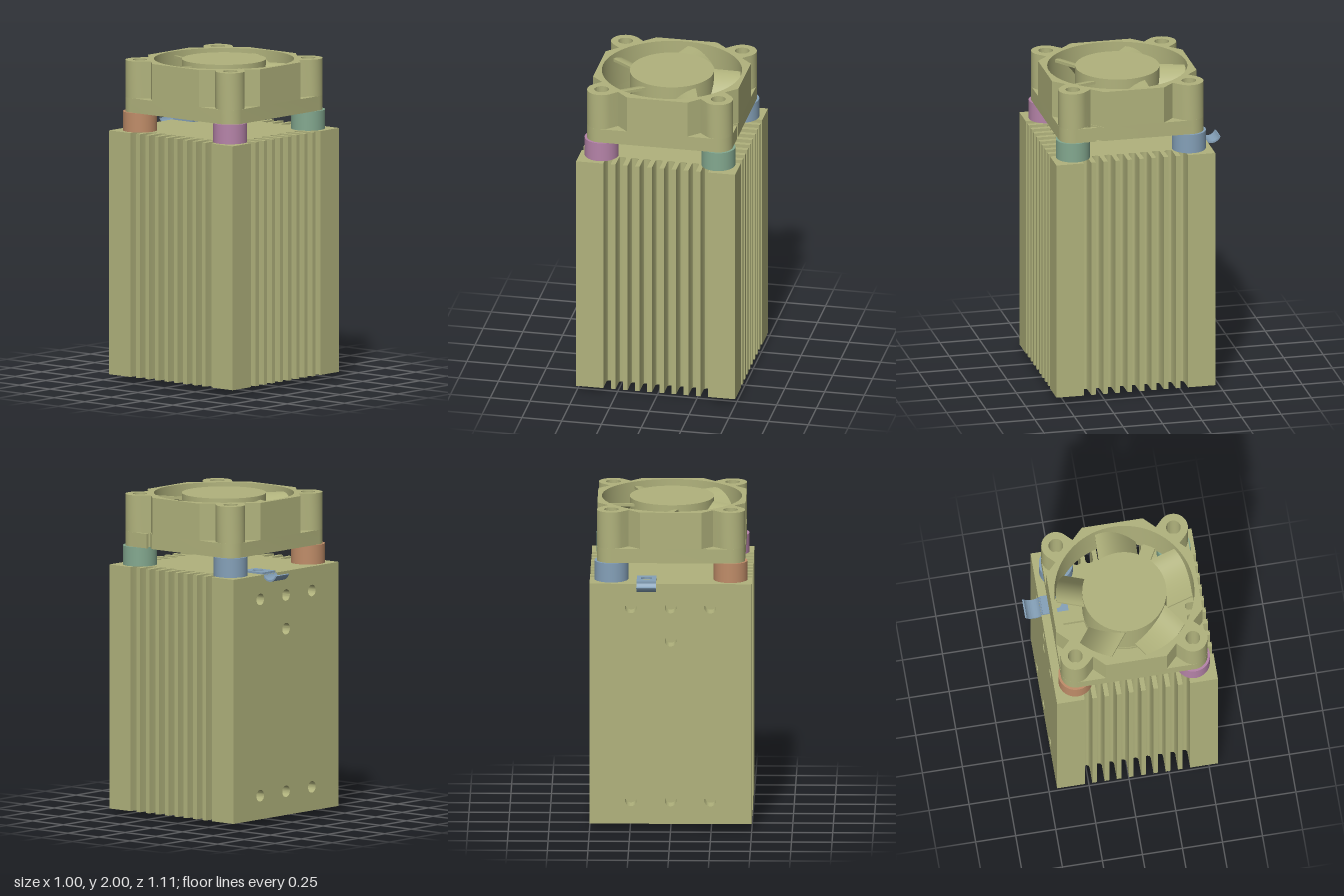
import * as THREE from 'three';
import { toCreasedNormals } from 'three/addons/utils/BufferGeometryUtils.js';

const mat = (name, color, side = THREE.FrontSide) => {
  const m = new THREE.MeshStandardMaterial({ color, side });
  m.name = name;
  return m;
};

const shapeOf = (pts) => new THREE.Shape(pts.map(([x, y]) => new THREE.Vector2(x, y)));
const hole = (shape, x, y, r) => shape.holes.push(new THREE.Path().absarc(x, y, r, 0, Math.PI * 2, true));
const extrude = (shape, depth, curveSegments = 24) =>
  new THREE.ExtrudeGeometry(shape, { depth, bevelEnabled: false, curveSegments });
// Plan shape drawn in (x, z), filled from y0 up to y1
const slab = (shape, y0, y1, seg) =>
  toCreasedNormals(extrude(shape, y1 - y0, seg).rotateX(Math.PI / 2).translate(0, y1, 0), 0.5);
const tube = (r, y0, y1) => new THREE.CylinderGeometry(r, r, y1 - y0, 48).translate(0, (y0 + y1) / 2, 0);

export function createModel() {
  const olive = mat('olive', 0xb0b27c);
  const pink = mat('pink', 0xb583a8);
  const green = mat('green', 0x83a88f);
  const blue = mat('blue', 0x84a0b8);
  const orange = mat('orange', 0xbf8c68);

  const model = new THREE.Group();
  const add = (parent, name, geo, material) => {
    const m = new THREE.Mesh(geo, material);
    m.name = name;
    parent.add(m);
    return m;
  };
  const CZ = 0.053; // shared axis of the bore and the fan

  // Heat sink: block with nine grooves on the front and on both sides
  const grooves = (start) => {
    const pts = [], w = 0.047, d = 0.12, r = 0.016;
    for (let i = 0; i < 9; i++) {
      const a = start + i * 0.0764, b = a + w;
      pts.push([a, 0], [a, d - r], [a + 0.3 * r, d - 0.3 * r], [a + r, d],
        [b - r, d], [b - 0.3 * r, d - 0.3 * r], [b, d - r], [b, 0]);
    }
    return pts;
  };
  const side = grooves(-0.277).map(([a, d]) => [0.5 - d, a]);
  const front = grooves(-0.329).map(([a, d]) => [-a, 0.555 - d]);
  const block = shapeOf([
    [0.5, -0.35], ...side, [0.5, 0.555], ...front, [-0.5, 0.555],
    ...side.slice().reverse().map(([x, z]) => [-x, z]), [-0.5, -0.35],
  ]);
  hole(block, 0, CZ, 0.11);
  const sink = new THREE.Group();
  sink.name = 'heatSink';
  model.add(sink);
  add(sink, 'finnedBlock', slab(block, 0.04, 1.56), olive);
  add(sink, 'borePlug', tube(0.11, 0.5, 1.56), olive).position.z = CZ;

  // Back wall with drilled mounting holes
  const back = shapeOf([[-0.5, 0.04], [0.5, 0.04], [0.5, 1.56], [-0.5, 1.56]]);
  for (const x of [-0.245, 0, 0.245]) for (const y of [0.187, 1.41]) hole(back, x, y, 0.036);
  hole(back, 0, 1.2, 0.036);
  add(sink, 'backWall', toCreasedNormals(extrude(back, 0.1).translate(0, 0, -0.45), 0.5), olive);

  // Lens retainer underneath: drilled disc, chamfered rim and bore
  const lens = new THREE.Group();
  lens.name = 'lensRetainer';
  lens.position.z = CZ;
  model.add(lens);
  const disc = new THREE.Shape().absarc(0, 0, 0.25, 0, Math.PI * 2);
  hole(disc, 0, 0, 0.105);
  for (const s of [-1, 1]) hole(disc, s * 0.2, 0, 0.024);
  add(lens, 'retainerDisc', slab(disc, 0, 0.04, 32), pink);
  const lathe = (pts) => toCreasedNormals(
    new THREE.LatheGeometry(pts.map(([x, y]) => new THREE.Vector2(x, y)), 64), 0.5);
  add(lens, 'retainerRim', lathe([[0.25, 0], [0.275, 0.022], [0.275, 0.04]]), pink);
  add(lens, 'lensBore', lathe([[0, 0.5], [0.075, 0.5], [0.075, 0.03], [0.105, 0]]), pink);

  // Fan
  const fan = new THREE.Group();
  fan.name = 'fan';
  fan.position.z = CZ;
  model.add(fan);
  const H = 0.457, P = 0.367, R = 0.09;

  // Outline repeated for four corners; the arc wraps each screw post
  const corner = (q, lead, from, to) => {
    const pts = lead.slice();
    for (let i = 0; i <= 16; i++) {
      const a = from + (to - from) * i / 16;
      pts.push([P + R * Math.cos(a), P + R * Math.sin(a)]);
    }
    pts.push(...lead.slice().reverse().map(([x, z]) => [z, x]));
    const c = Math.round(Math.cos(q * Math.PI / 2)), s = Math.round(Math.sin(q * Math.PI / 2));
    return pts.map(([x, z]) => [x * c - z * s, x * s + z * c]);
  };
  const frame = (lead, from, to, screwR, notch = []) => {
    const pts = [...notch];
    for (let q = 0; q < 4; q++) pts.push(...corner(q, lead, from, to));
    const s = shapeOf(pts);
    hole(s, 0, 0, 0.432);
    for (const x of [-P, P]) for (const z of [-P, P]) hole(s, x, z, screwR);
    return s;
  };
  add(fan, 'housing', slab(
    frame([[H, 0.19], [0.387, 0.26]], -Math.PI / 4, Math.PI * 3 / 4, 0.045), 1.77, 2, 40), olive);
  // Base flange, with a cable notch on the left side
  add(fan, 'baseFlange', slab(frame([], 0, Math.PI / 2, 0.037,
    [[H, 0.197], [0.39, 0.262], [0.437, 0.309], [0.437, 0.237], [H, 0.237]]), 1.68, 1.77, 40), olive);

  // Motor mount, struts and hub
  add(fan, 'motorMount', tube(0.26, 1.68, 1.705), olive);
  for (let i = 0; i < 3; i++) {
    add(fan, 'strut', new THREE.BoxGeometry(0.24, 0.03, 0.08).translate(0.33, 1.697, 0)
      .rotateY(Math.PI / 2 + i * Math.PI * 2 / 3), olive);
  }
  add(fan, 'hub', tube(0.26, 1.715, 2), olive);

  // Blades: curved section run radially, ends trimmed to the hub and duct
  const top = [], under = [];
  for (let i = 0; i <= 12; i++) {
    const u = i / 12, s = 0.127 - 0.254 * u, y = 1.975 - 0.22 * u * u;
    top.push([s, y]);
    under.unshift([s, y - 0.018]);
  }
  const blade = extrude(shapeOf([...top, ...under]), 1);
  const pos = blade.attributes.position;
  for (let i = 0; i < pos.count; i++) {
    const s = pos.getX(i), r = pos.getZ(i) > 0.5 ? 0.422 : 0.25;
    pos.setXYZ(i, Math.sqrt(r * r - s * s), pos.getY(i), -s);
  }
  const bladeGeo = toCreasedNormals(blade, 0.5);
  for (let i = 0; i < 5; i++) {
    add(fan, 'blade', bladeGeo, olive).rotation.y = -0.025 + i * Math.PI * 2 / 5;
  }

  // Spacers between heat sink and fan
  for (const [x, z, m] of [[-P, P, pink], [P, P, green], [P, -P, blue], [-P, -P, orange]]) {
    add(model, 'spacer', tube(0.105, 1.56, 1.68), m).position.set(x, 0, CZ + z);
  }

  // Spring clip: drilled plate with a curled tip past the back edge
  const clip = new THREE.Group();
  clip.name = 'clip';
  model.add(clip);
  const plate = shapeOf([[0.09, -0.44], [0.21, -0.44], [0.21, -0.28], [0.09, -0.28]]);
  hole(plate, 0.15, -0.35, 0.035);
  add(clip, 'clipPlate', slab(plate, 1.56, 1.572), blue);
  const a0 = Math.PI * 1.11, a1 = Math.PI * 1.89;
  const curl = new THREE.Shape().absarc(-0.495, 1.58, 0.06, a0, a1, false)
    .absarc(-0.495, 1.58, 0.05, a1, a0, true);
  add(clip, 'clipCurl', toCreasedNormals(
    extrude(curl, 0.12).rotateY(-Math.PI / 2).translate(0.21, 0, 0), 0.5), blue);

  return model;
}
